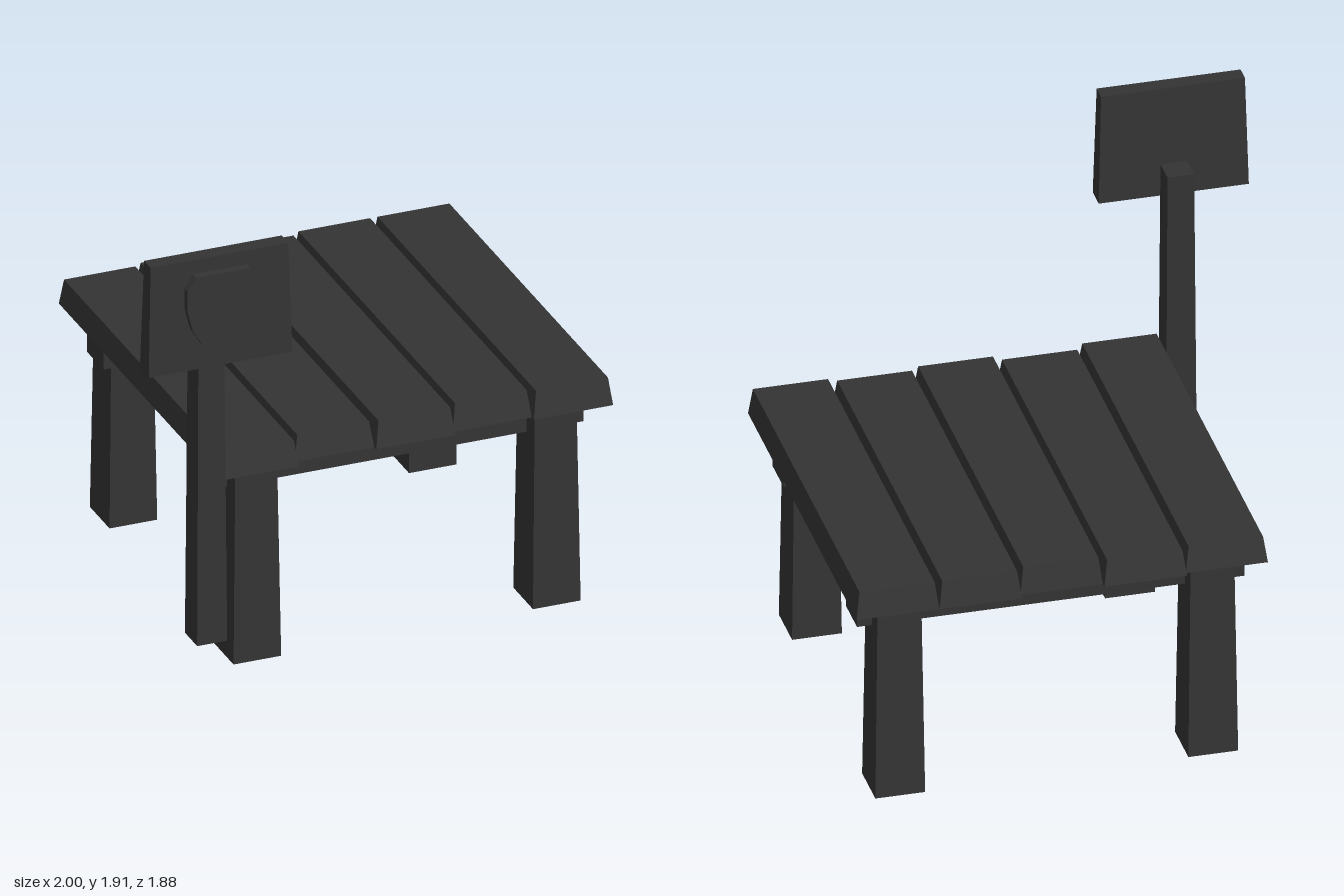
import * as THREE from 'three';

const material = new THREE.MeshStandardMaterial({ color: 0x333333, flatShading: true });

// Box spanning [min, max] on each axis, its top face inset by tx and tz on each side
function taperedBox(name, [x0, x1], [y0, y1], [z0, z1], tx = 0, tz = tx) {
  const w = x1 - x0, d = z1 - z0;
  const geometry = new THREE.BoxGeometry(w, y1 - y0, d);
  const p = geometry.attributes.position;
  for (let i = 0; i < p.count; i++) {
    if (p.getY(i) > 0) {
      p.setX(i, p.getX(i) * (1 - 2 * tx / w));
      p.setZ(i, p.getZ(i) * (1 - 2 * tz / d));
    }
  }
  geometry.computeVertexNormals();
  const mesh = new THREE.Mesh(geometry, material);
  mesh.name = name;
  mesh.position.set((x0 + x1) / 2, (y0 + y1) / 2, (z0 + z1) / 2);
  return mesh;
}

function createTable() {
  const table = new THREE.Group();
  table.name = 'table';

  // Five uneven planks: x range, z range, top height
  const planks = [
    [-0.615, -0.295, -0.92, 0.685, 0.95],
    [-0.295, 0.028, -0.94, 0.645, 0.95],
    [0.028, 0.35, -0.92, 0.665, 0.957],
    [0.35, 0.672, -0.945, 0.64, 0.957],
    [0.672, 0.995, -0.945, 0.66, 0.957],
  ];
  planks.forEach(([x0, x1, z0, z1, top], i) => {
    table.add(taperedBox(`plank${i + 1}`, [x0, x1], [0.845, top], [z0, z1], 0.015));
  });

  // Four legs, slightly narrower at the top
  for (const [side, x] of [['Right', -0.42], ['Left', 0.8]]) {
    for (const [end, z] of [['front', 0.478], ['back', -0.753]]) {
      table.add(taperedBox(`${end}${side}Leg`, [x - 0.097, x + 0.097], [0, 0.845],
        [z - 0.098, z + 0.098], 0.012));
    }
  }

  // Cross beams under the planks
  table.add(taperedBox('frontBeam', [-0.565, 0.945], [0.705, 0.845], [0.325, 0.485]));
  table.add(taperedBox('backBeam', [-0.565, 0.945], [0.705, 0.845], [-0.762, -0.6]));
  return table;
}

function createSign() {
  const sign = new THREE.Group();
  sign.name = 'sign';
  sign.add(taperedBox('post', [-0.766, -0.644], [0.24, 1.6], [0.7, 0.822], 0.009));
  sign.add(taperedBox('board', [-1, -0.415], [1.458, 1.915], [0.823, 0.912], 0.012));

  // Raised shield on the board: half outline, mirrored
  const half = [[0.11, 1.857], [0.147, 1.805], [0.147, 1.72], [0.126, 1.635], [0.085, 1.565]];
  const outline = [
    [0, 1.51],
    ...half.slice().reverse(),
    ...half.map(([x, y]) => [-x, y]),
  ].map(([x, y]) => new THREE.Vector2(x, y));
  const geometry = new THREE.ExtrudeGeometry(new THREE.Shape(outline), { depth: 0.05, bevelEnabled: false });
  const shield = new THREE.Mesh(geometry, material);
  shield.name = 'shield';
  shield.position.set(-0.705, 0, 0.887);
  sign.add(shield);
  return sign;
}

export function createModel() {
  const model = new THREE.Group();
  model.name = 'tableWithSign';
  model.add(createTable(), createSign());
  return model;
}
